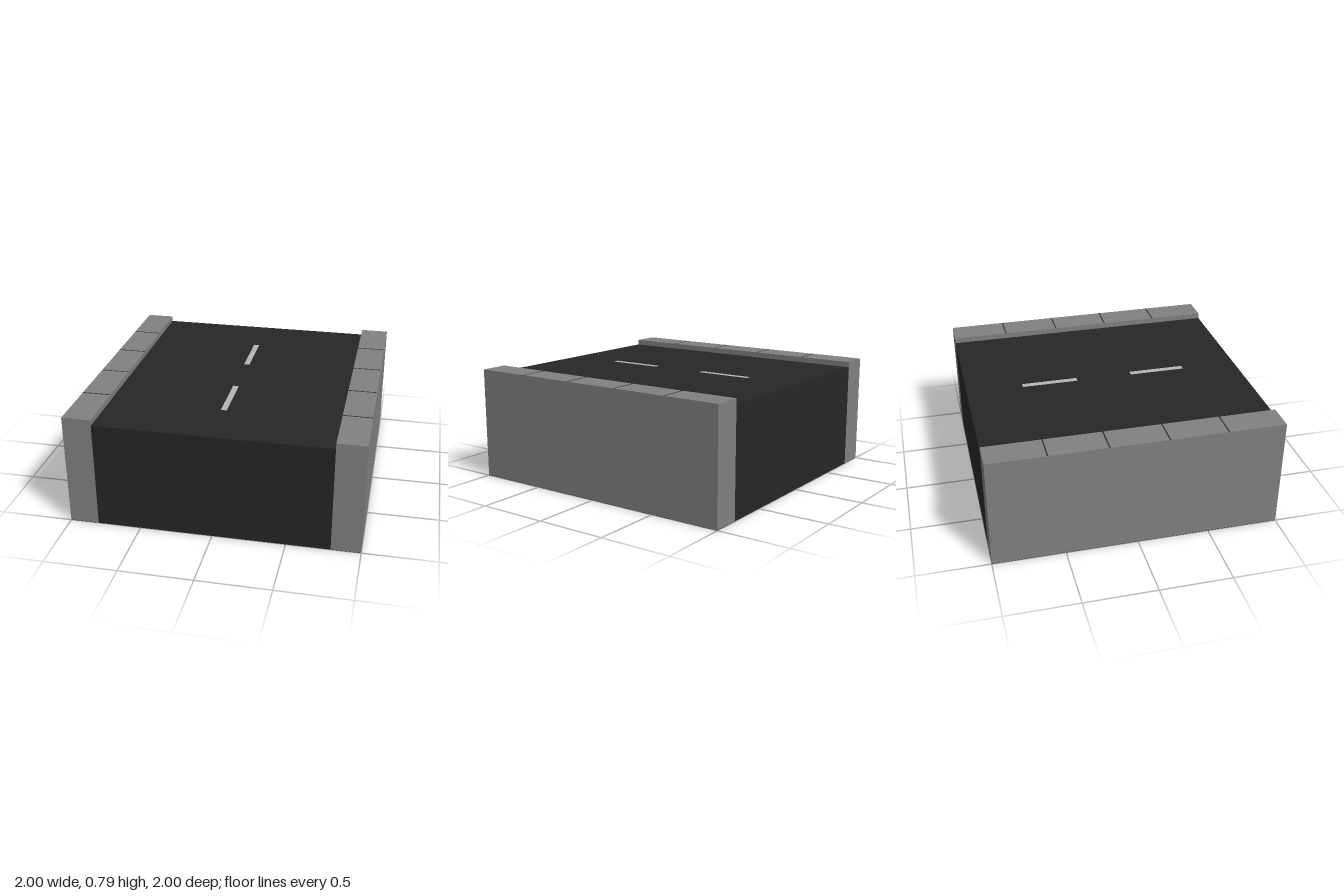
import * as THREE from 'three';

const paint = (color) => new THREE.MeshStandardMaterial({ color, flatShading: true });

// Box given by its size, its centre in x and z, and the height of its underside
function addBlock(parent, name, material, [w, h, d], x, bottom, z) {
  const mesh = new THREE.Mesh(new THREE.BoxGeometry(w, h, d), material);
  mesh.name = name;
  mesh.position.set(x, bottom + h / 2, z);
  parent.add(mesh);
  return mesh;
}

export function createModel() {
  const model = new THREE.Group();
  model.name = 'roadSegment';

  const asphalt = paint(0x262626);
  const concrete = paint(0x808080);
  const jointGrey = paint(0x383838);
  const linePaint = paint(0xb4b4b4);

  const baseH = 0.002, roadTop = 0.75, curbTop = 0.79;

  // Thin dark underside below road and kerbs
  addBlock(model, 'base', asphalt, [2, baseH, 2], 0, 0, 0);

  // Road body
  addBlock(model, 'road', asphalt, [1.6, roadTop - baseH, 2], 0, baseH, 0);

  // Dashed centre line
  for (const z of [-0.4, 0.4]) {
    addBlock(model, 'laneDash', linePaint, [0.04, 0.003, 0.4], 0, roadTop - 0.001, z);
  }

  // Raised kerbs with paving joints on top
  for (const side of [-1, 1]) {
    const kerb = new THREE.Group();
    kerb.name = side > 0 ? 'leftKerb' : 'rightKerb';
    addBlock(kerb, 'kerbBody', concrete, [0.2, curbTop - baseH, 2], side * 0.9, baseH, 0);
    for (const z of [-0.6, -0.2, 0.2, 0.6]) {
      addBlock(kerb, 'pavingJoint', jointGrey, [0.198, 0.002, 0.01], side * 0.9, curbTop - 0.001, z);
    }
    model.add(kerb);
  }

  return model;
}
